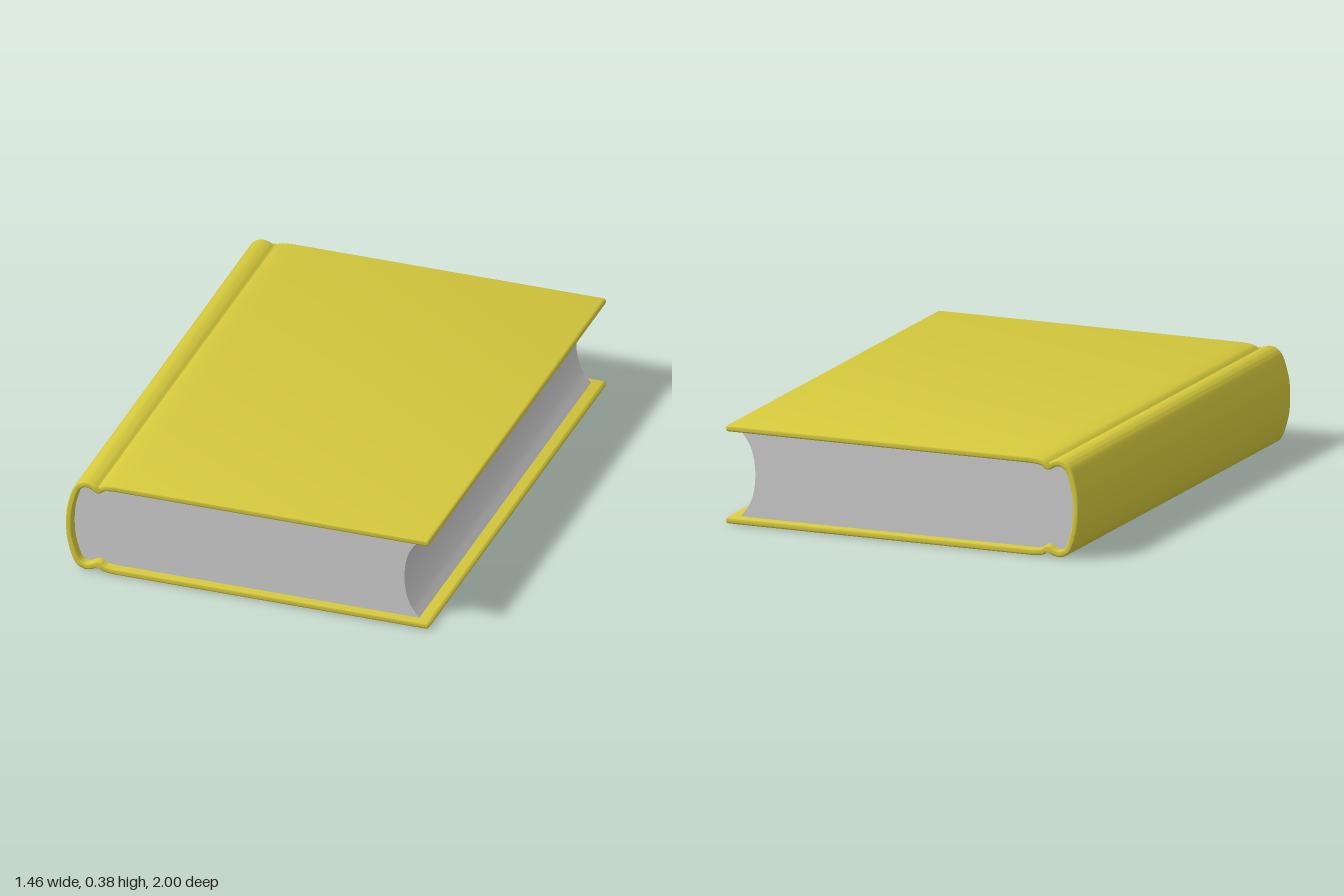
import * as THREE from 'three';
import { toCreasedNormals } from 'three/addons/utils/BufferGeometryUtils.js';

const MID = 0.193;     // height of the book's middle plane
const HALF = 0.0125;   // half the thickness of the cover
const V = (x, y) => new THREE.Vector2(x, y);

// Centreline of the cover: top board, hinge groove, rounded spine, then mirrored
function coverLine() {
  const half = [[-0.53, 0.179], [-0.575, 0.174], [-0.6, 0.159], [-0.625, 0.172], [-0.655, 0.176],
    [-0.684, 0.155], [-0.704, 0.1], [-0.715, 0.04]];
  const all = [...half, ...half.slice().reverse().map(([x, y]) => [x, -y])];
  const spine = new THREE.SplineCurve(all.map(([x, y]) => V(x, y))).getPoints(90);
  return [V(0.717, 0.179), V(-0.5, 0.179), ...spine, V(-0.5, -0.179), V(0.717, -0.179)];
}

// Shift a line sideways by d (positive = towards the pages)
function offset(line, d) {
  return line.map((p, i) => {
    const a = line[Math.max(i - 1, 0)], b = line[Math.min(i + 1, line.length - 1)];
    const t = b.clone().sub(a).normalize();
    return V(p.x - t.y * d, p.y + t.x * d);
  });
}

// Half-round cap at the free edge of a board, running from startAngle through 180 degrees
function cap(y, startAngle, dir) {
  return [1, 2, 3, 4, 5].map(i => {
    const a = startAngle + dir * i * Math.PI / 6;
    return V(0.717 + HALF * Math.cos(a), y + HALF * Math.sin(a));
  });
}

// Extrude an outline along z, centred, with a bevel kept inside the outline
function slab(points, halfLength, bevel, material, name) {
  const g = new THREE.ExtrudeGeometry(new THREE.Shape(points), {
    depth: 2 * (halfLength - bevel), bevelEnabled: bevel > 0, bevelThickness: bevel,
    bevelSize: bevel, bevelOffset: -bevel, bevelSegments: 3, steps: 1,
  });
  g.translate(0, MID, -(halfLength - bevel));
  const mesh = new THREE.Mesh(toCreasedNormals(g, 0.7), material);
  mesh.name = name;
  return mesh;
}

export function createModel() {
  const book = new THREE.Group();
  book.name = 'book';
  const line = coverLine();

  // Cover: one wrapped sheet of boards and spine
  const outer = offset(line, -HALF), inner = offset(line, HALF);
  const outline = [...outer, ...cap(-0.179, -Math.PI / 2, 1), ...inner.reverse(), ...cap(0.179, -Math.PI / 2, 1)];
  book.add(slab(outline, 1, 0.007, new THREE.MeshStandardMaterial({ color: 0xd4c83c }), 'cover'));

  // Pages: follow the inside of the cover, with a concave fore-edge
  const block = offset(line, HALF - 0.001);
  block[0].x = block[block.length - 1].x = 0.68;
  const y = block[0].y;
  const foreEdge = new THREE.SplineCurve([V(0.68, -y), V(0.64, -0.11), V(0.622, -0.04),
    V(0.622, 0.04), V(0.64, 0.11), V(0.68, y)]).getPoints(20).slice(1, -1);
  book.add(slab([...block, ...foreEdge], 0.966, 0, new THREE.MeshStandardMaterial({ color: 0xcccccc }), 'pages'));
  return book;
}
